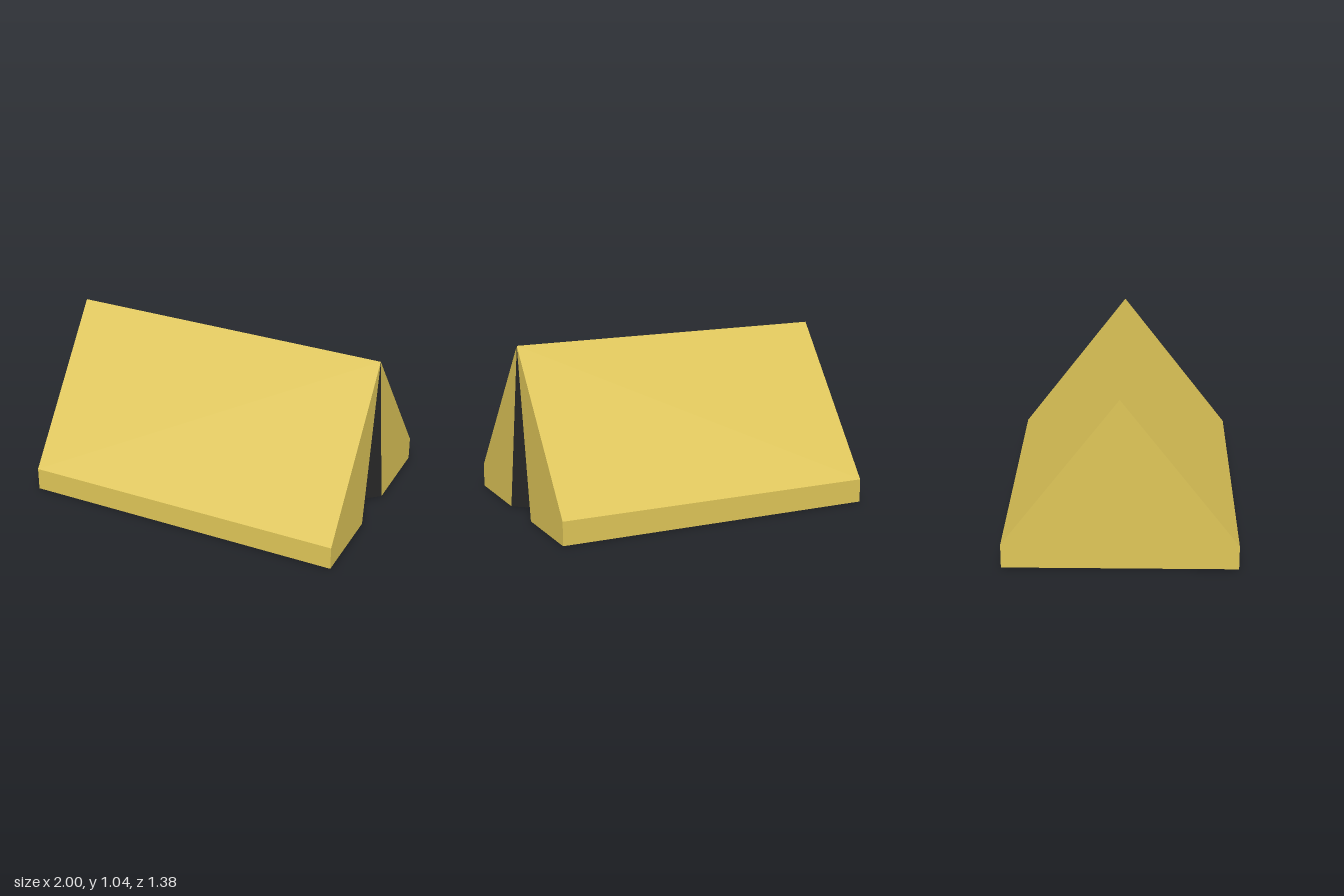
import * as THREE from 'three';

const L = 1, W = 0.69, EAVE = 0.145, RIDGE = 1.04; // half length, half width, heights
const DOOR = 0.172, DEPTH = 0.21;                  // door half width, fold depth

// Flat-shaded polygons, given for the +z half and mirrored to -z
function mirroredFaces(name, material, polygons) {
  const pos = [];
  for (const poly of polygons) {
    for (const side of [1, -1]) {
      for (let i = 1; i < poly.length - 1; i++) {
        const tri = side > 0 ? [poly[0], poly[i], poly[i + 1]] : [poly[0], poly[i + 1], poly[i]];
        for (const [x, y, z] of tri) pos.push(x, y, z * side);
      }
    }
  }
  const geo = new THREE.BufferGeometry();
  geo.setAttribute('position', new THREE.Float32BufferAttribute(pos, 3));
  geo.computeVertexNormals();
  const mesh = new THREE.Mesh(geo, material);
  mesh.name = name;
  return mesh;
}

export function createModel() {
  const canvas = new THREE.MeshStandardMaterial({ color: 0xdfc658 });
  canvas.name = 'mustard canvas';
  const dark = new THREE.MeshStandardMaterial({ color: 0x282828 });
  dark.name = 'dark interior';

  const apex = [L, RIDGE, 0], backApex = [-L, RIDGE, 0];
  const doorFoot = [L, 0, DOOR], fold = [L - DEPTH, 0, 0];
  const foot = [L, 0, W], backFoot = [-L, 0, W];
  const eave = [L, EAVE, W], backEave = [-L, EAVE, W];
  const backMid = [-L, 0, 0];

  const tent = new THREE.Group();
  tent.name = 'tent';
  tent.add(
    mirroredFaces('roof', canvas, [[backEave, eave, apex, backApex]]),
    mirroredFaces('sideWalls', canvas, [[backFoot, foot, eave, backEave]]),
    mirroredFaces('entranceGable', canvas, [[foot, doorFoot, apex, eave]]),
    mirroredFaces('closedGable', canvas, [[backMid, backFoot, backEave, backApex]]),
    // floor, notched at the entrance
    mirroredFaces('floor', canvas, [[backMid, fold, doorFoot, foot, backFoot]]),
    // two inward-folded panels of the opening
    mirroredFaces('entrance', dark, [[doorFoot, fold, apex]]),
  );
  return tent;
}
